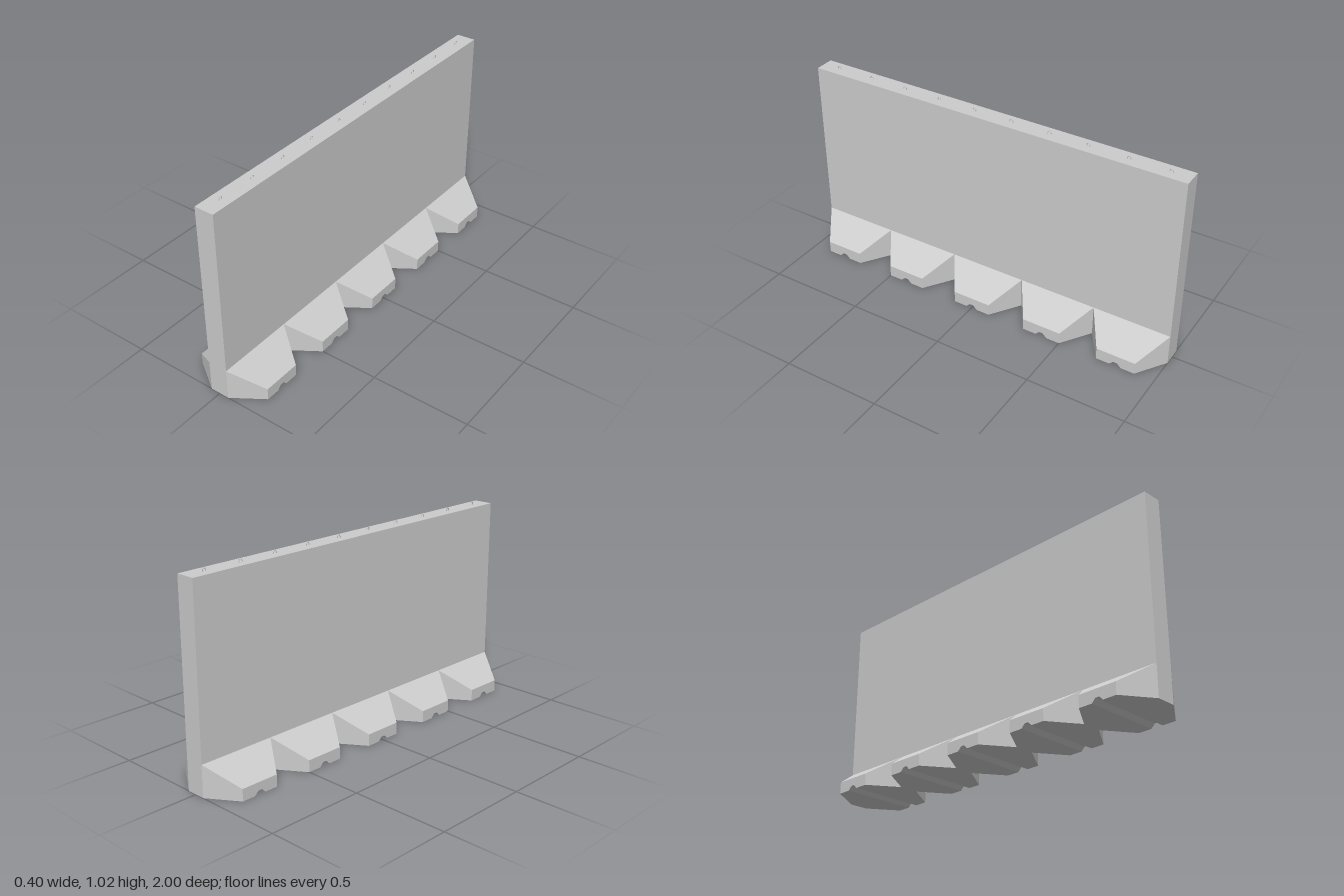
import * as THREE from 'three';

const material = new THREE.MeshStandardMaterial({ color: 0xcccccc, flatShading: true });

// Cross-section of a foot in (z, y), with the drainage groove cut in the underside
function footSection(halfWidth, height) {
  return [
    [-halfWidth, 0], [-0.03, 0], [-0.01, 0.02], [0.01, 0.02],
    [0.03, 0], [halfWidth, 0], [halfWidth, height], [-halfWidth, height],
  ].map(([z, y]) => new THREE.Vector2(z, y));
}

// Hexagonal foot with sloping shoulders, lofted across x
function footGeometry() {
  const stations = [[-0.2, 0.1, 0.06], [-0.05, 0.2, 0.16], [0.05, 0.2, 0.16], [0.2, 0.1, 0.06]];
  const positions = [];
  const index = [];
  const n = 8;
  for (const [x, w, h] of stations) {
    for (const p of footSection(w, h)) positions.push(x, p.y, p.x);
  }
  for (let s = 0; s < stations.length - 1; s++) {
    for (let i = 0; i < n; i++) {
      const j = (i + 1) % n;
      const a = s * n + i, b = s * n + j, c = a + n, d = b + n;
      index.push(a, c, d, a, d, b);
    }
  }
  // End faces
  const last = (stations.length - 1) * n;
  for (const [a, b, c] of THREE.ShapeUtils.triangulateShape(footSection(0.1, 0.06), [])) {
    index.push(a, b, c, last + c, last + b, last + a);
  }
  const geometry = new THREE.BufferGeometry();
  geometry.setAttribute('position', new THREE.Float32BufferAttribute(positions, 3));
  geometry.setIndex(index);
  const flat = geometry.toNonIndexed();
  flat.computeVertexNormals();
  return flat;
}

// Small lifting loop standing in the zy plane
function loopGeometry() {
  const points = [new THREE.Vector3(0, -0.004, -0.008)];
  for (let i = 0; i <= 6; i++) {
    const a = Math.PI - (i / 6) * Math.PI;
    points.push(new THREE.Vector3(0, 0.006 + 0.008 * Math.sin(a), 0.008 * Math.cos(a)));
  }
  points.push(new THREE.Vector3(0, -0.004, 0.008));
  return new THREE.TubeGeometry(new THREE.CatmullRomCurve3(points), 20, 0.002, 8);
}

export function createModel() {
  const model = new THREE.Group();
  model.name = 'barrierWall';

  // Upright slab
  const wall = new THREE.Mesh(new THREE.BoxGeometry(0.1, 0.84, 2), material);
  wall.name = 'wall';
  wall.position.y = 0.58;
  model.add(wall);

  // Five feet in a row
  const foot = footGeometry();
  for (let i = 0; i < 5; i++) {
    const mesh = new THREE.Mesh(foot, material);
    mesh.name = `foot${i + 1}`;
    mesh.position.z = -0.8 + i * 0.4;
    model.add(mesh);
  }

  // Ten lifting loops along the top
  const loop = loopGeometry();
  const loopMaterial = new THREE.MeshStandardMaterial({ color: 0xcccccc });
  for (let i = 0; i < 10; i++) {
    const mesh = new THREE.Mesh(loop, loopMaterial);
    mesh.name = `liftingLoop${i + 1}`;
    mesh.position.set(0, 1, -0.9 + i * 0.2);
    model.add(mesh);
  }
  return model;
}
